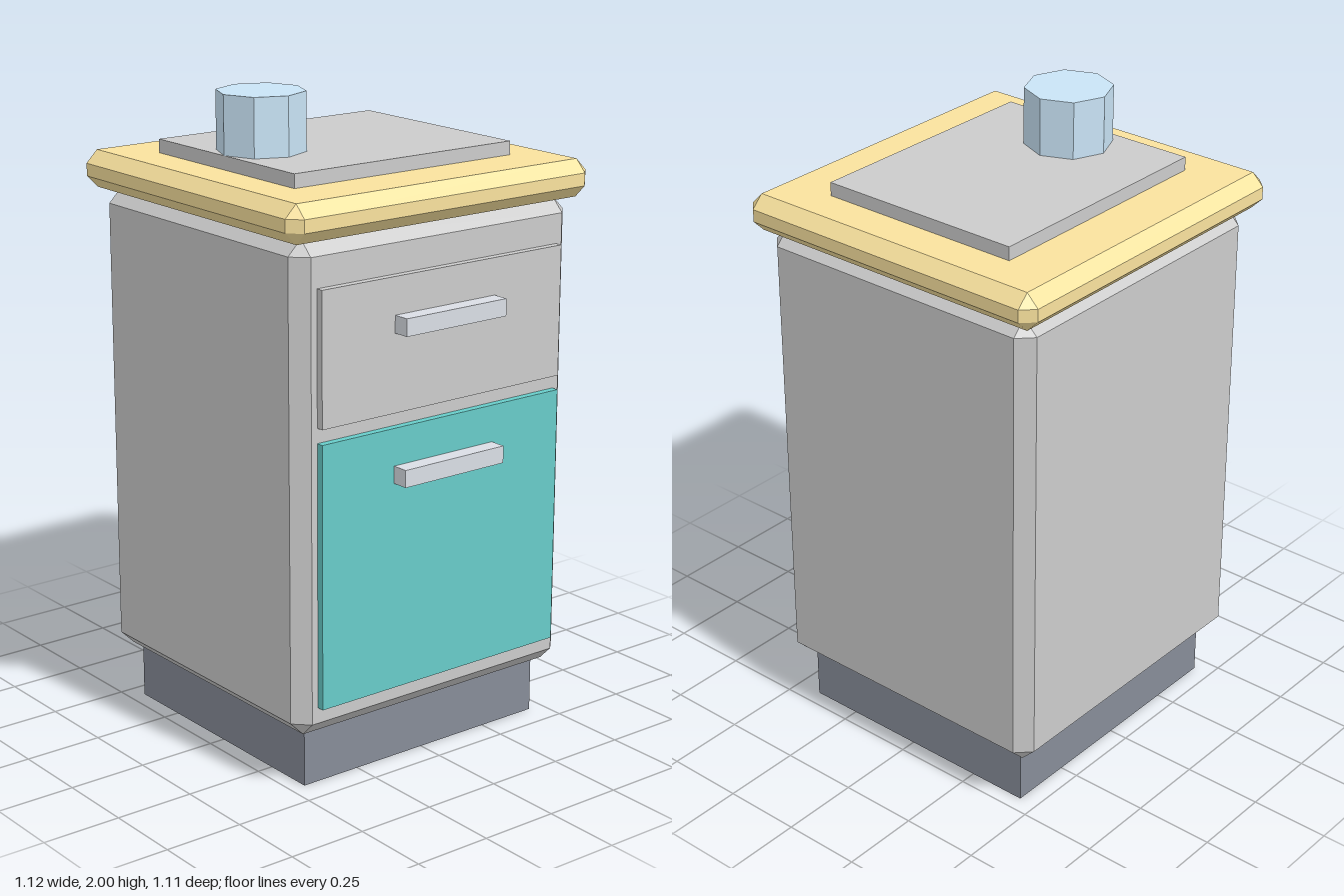
import * as THREE from 'three';
import { ConvexGeometry } from 'three/addons/geometries/ConvexGeometry.js';

const mat = (color) => new THREE.MeshStandardMaterial({ color, flatShading: true });

// Box geometry with every edge cut by a flat chamfer c
function chamferedBox(w, h, d, c) {
  const points = [];
  for (const sx of [-1, 1]) for (const sy of [-1, 1]) for (const sz of [-1, 1]) {
    const x = sx * w / 2, y = sy * h / 2, z = sz * d / 2;
    points.push(
      new THREE.Vector3(x, y - sy * c, z - sz * c),
      new THREE.Vector3(x - sx * c, y, z - sz * c),
      new THREE.Vector3(x - sx * c, y - sy * c, z)
    );
  }
  return new ConvexGeometry(points);
}

export function createModel() {
  const group = new THREE.Group();
  const grey = mat(0xcccccc), wood = mat(0xf9e29e), teal = mat(0x68ccc9);
  const slate = mat(0x878c98), metal = mat(0xdadee5), glass = mat(0xc9e4f6);

  const add = (name, geometry, material, x, y, z) => {
    const mesh = new THREE.Mesh(geometry, material);
    mesh.name = name;
    mesh.position.set(x, y, z);
    group.add(mesh);
  };
  // Part given by its extents; a chamfer is optional
  const block = (name, material, [x0, x1], [y0, y1], [z0, z1], c = 0) => {
    const size = [x1 - x0, y1 - y0, z1 - z0];
    const geometry = c ? chamferedBox(...size, c) : new THREE.BoxGeometry(...size);
    add(name, geometry, material, (x0 + x1) / 2, (y0 + y1) / 2, (z0 + z1) / 2);
  };

  // Plinth, cabinet and worktop
  block('plinth', slate, [-0.45, 0.45], [0, 0.185], [-0.44, 0.413]);
  block('cabinetBody', grey, [-0.516, 0.516], [0.18, 1.667], [-0.51, 0.48], 0.045);
  block('worktop', wood, [-0.56, 0.56], [1.665, 1.78], [-0.555, 0.52], 0.038);

  // Drawer and door fronts with their bar handles
  block('drawerFront', grey, [-0.45, 0.45], [1.127, 1.531], [0.46, 0.503]);
  block('doorFront', teal, [-0.45, 0.45], [0.274, 1.082], [0.46, 0.503]);
  block('drawerHandle', metal, [-0.188, 0.188], [1.365, 1.418], [0.5, 0.555]);
  block('doorHandle', metal, [-0.188, 0.188], [0.915, 0.968], [0.5, 0.555]);

  // Tray and eight-sided cup on the worktop
  block('tray', grey, [-0.404, 0.404], [1.775, 1.822], [-0.355, 0.318]);
  add('cup', new THREE.CylinderGeometry(0.134, 0.134, 0.18, 8), glass, -0.27, 1.91, -0.019);

  return group;
}
